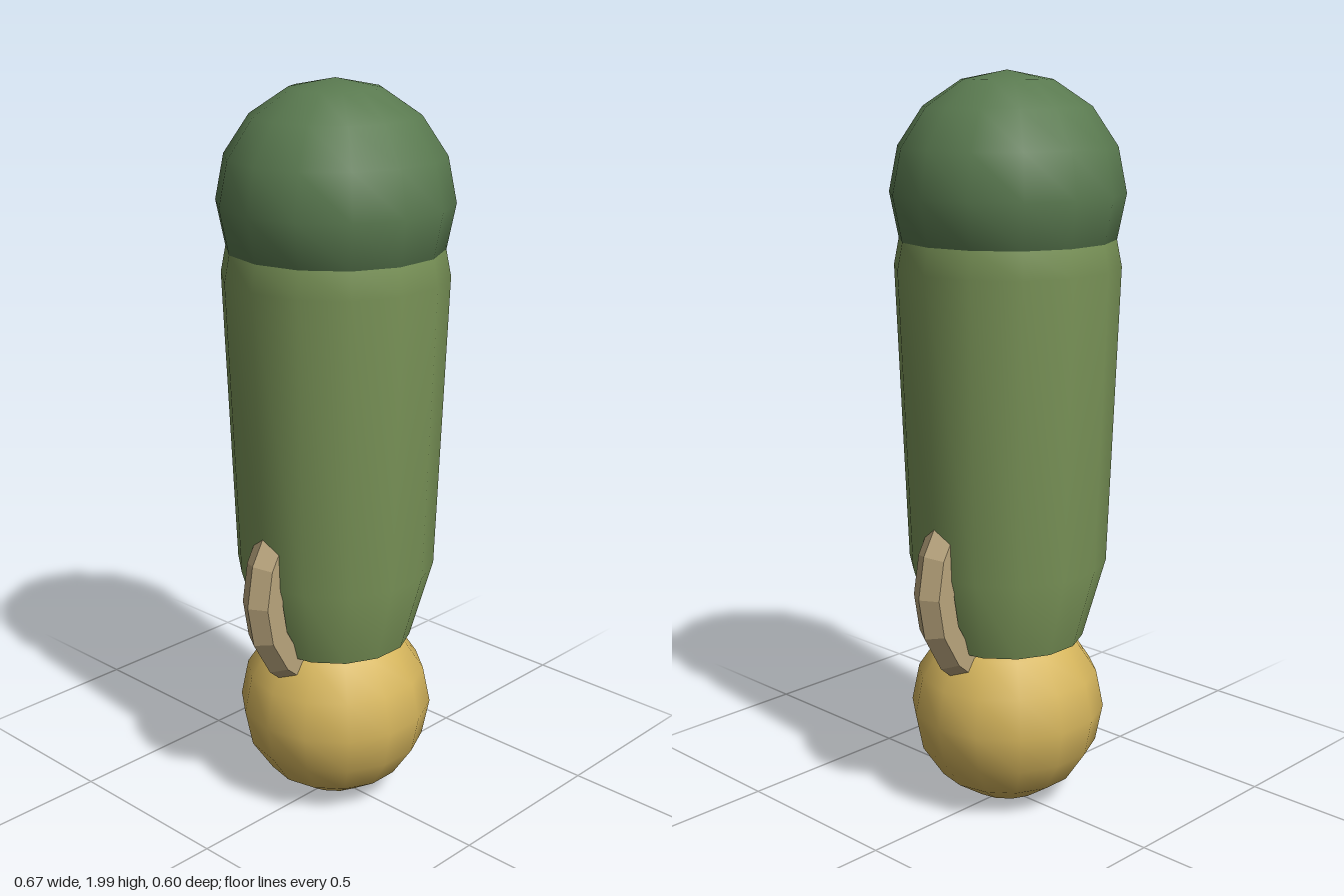
import * as THREE from 'three';

export function createModel() {
  const group = new THREE.Group();
  const material = (name, color, flatShading = false) => {
    const m = new THREE.MeshStandardMaterial({ color, flatShading });
    m.name = name;
    return m;
  };
  const darkGreen = material('darkGreen', 0x5a7a50);
  const green = material('green', 0x7a9458);
  const gold = material('gold', 0xd4b45c);
  const tan = material('tan', 0xb8a47c, true);

  const add = (name, geometry, mat, y = 0) => {
    const mesh = new THREE.Mesh(geometry, mat);
    mesh.name = name;
    mesh.position.y = y;
    group.add(mesh);
    return mesh;
  };
  const SIDES = 14;

  // Rounded tip and foot
  add('topDome', new THREE.SphereGeometry(0.31, SIDES, 8), darkGreen, 1.69);
  add('bottomBall', new THREE.SphereGeometry(0.268, SIDES, 8), gold, 0.274);

  // Tapered body, turned so that corners lie on the x axis
  const profile = [[0.208, 0.48], [0.27, 0.7], [0.3, 1.5], [0.286, 1.572]]
    .map(([r, y]) => new THREE.Vector2(r, y));
  add('body', new THREE.LatheGeometry(profile, SIDES), green).rotation.y = Math.PI / 2;

  // Flat underside of the body
  const base = new THREE.CircleGeometry(0.208, SIDES);
  base.rotateX(Math.PI / 2);
  add('bodyBase', base, green, 0.48);

  // Faceted upright ring, emerging on both sides as curved handles
  add('sideRing', new THREE.TorusGeometry(0.278, 0.055, 6, 18), tan, 0.657);

  return group;
}
